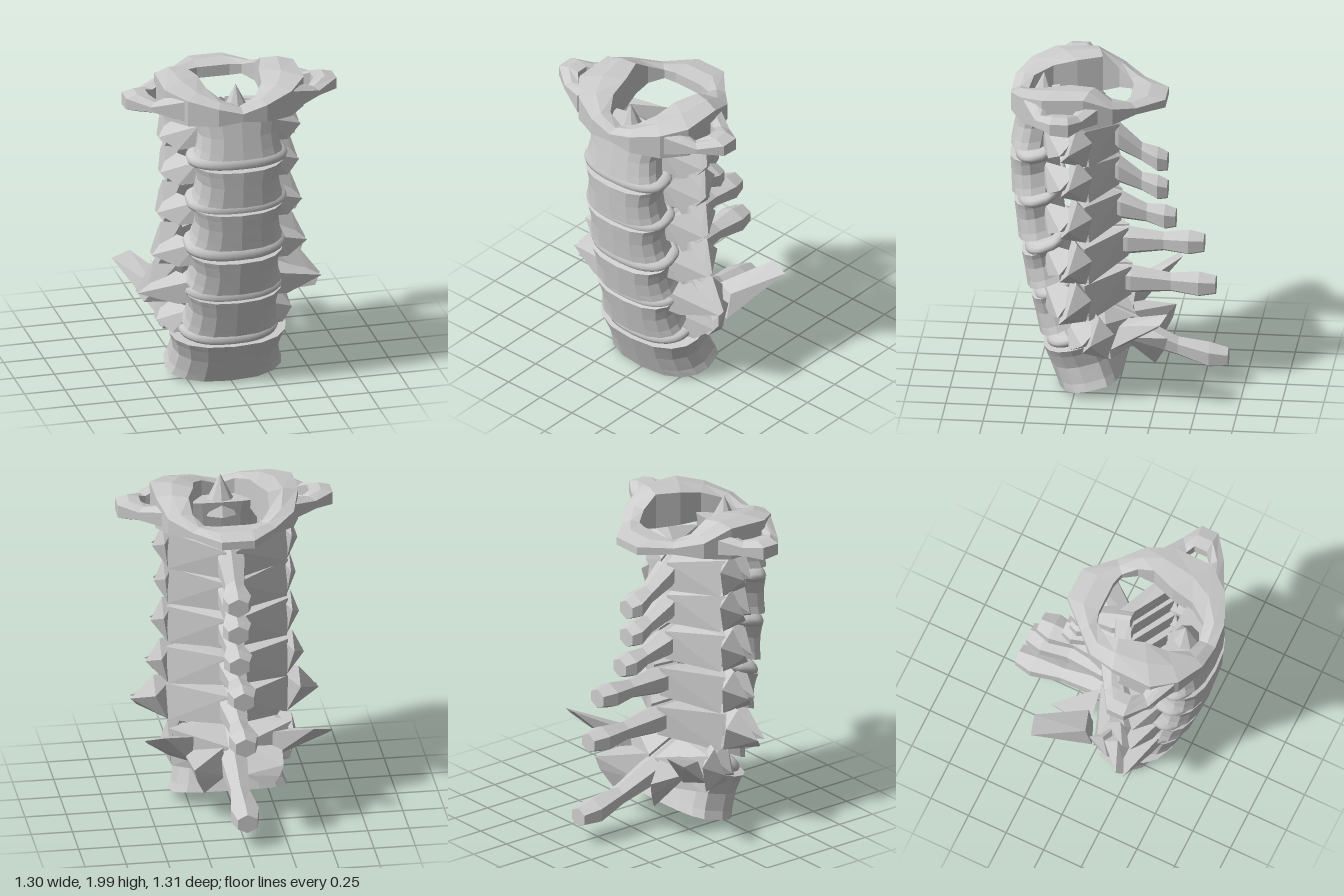
import * as THREE from 'three';
import { ConvexGeometry } from 'three/addons/geometries/ConvexGeometry.js';

const flat = new THREE.MeshStandardMaterial({ color: 0xcccccc, flatShading: true });
const smooth = new THREE.MeshStandardMaterial({ color: 0xcccccc });
const { lerp } = THREE.MathUtils;

function add(parent, name, geometry, material = flat) {
  const mesh = new THREE.Mesh(geometry, material);
  mesh.name = name;
  parent.add(mesh);
  return mesh;
}

// Skin a list of rings of [x, y, z]; closed joins last to first, otherwise the ends are capped
function loft(rings, closed = false) {
  const n = rings[0].length, m = rings.length, pos = rings.flat(2), idx = [];
  for (let i = 0; i < (closed ? m : m - 1); i++) {
    for (let j = 0; j < n; j++) {
      const k = (j + 1) % n, r = i * n, q = ((i + 1) % m) * n;
      idx.push(r + j, r + k, q + k, r + j, q + k, q + j);
    }
  }
  if (!closed) {
    const last = (m - 1) * n;
    for (let j = 1; j < n - 1; j++) idx.push(0, j + 1, j, last, last + j, last + j + 1);
  }
  // Turn the skin outward when its signed volume is negative
  const P = i => new THREE.Vector3().fromArray(pos, i * 3);
  let volume = 0;
  for (let i = 0; i < idx.length; i += 3) volume += P(idx[i]).dot(P(idx[i + 1]).cross(P(idx[i + 2])));
  if (volume < 0) idx.reverse();
  const g = new THREE.BufferGeometry();
  g.setAttribute('position', new THREE.Float32BufferAttribute(pos, 3));
  g.setIndex(idx);
  g.computeVertexNormals();
  return g;
}

// Convex chunk, made for the left and the right side
function hullPair(parent, name, pts) {
  for (const s of [1, -1]) {
    add(parent, name, new ConvexGeometry(pts.map(([x, y, z]) => new THREE.Vector3(s * x, y, z))));
  }
}

// Flattened six-sided section between an inner and an outer point
const section = (s, [xi, zi, xo, zo, lo, hi]) => {
  const x = (xi + xo) / 2, z = (zi + zo) / 2;
  return [[xi, hi, zi], [x, hi + .01, z], [xo, hi - .01, zo], [xo, lo + .01, zo], [x, lo - .01, z], [xi, lo, zi]]
    .map(p => [s * p[0], p[1], p[2]]);
};

// Rounded plate outline from its front edge back by depth, climbing by rise
function plate({ z, y, depth, rise }, w, n, scale = 1, lift = 0) {
  return Array.from({ length: n }, (_, i) => {
    const a = i / n * Math.PI * 2, s = Math.sin(a), c = Math.cos(a);
    const t = .5 - scale / 2 * (c < 0 ? -Math.sqrt(-c) : c);
    return [w * scale * Math.sign(s) * Math.abs(s) ** .8, y + rise * t + lift, z - depth * t];
  });
}

// Per vertebra: front edge of the body top and bottom (z, y), depth, rise to the back,
// pillar top, side reach, spine tip (z, y)
const vertebrae = [
  [.61, 1.8, .655, 1.56, .24, .03, 1.79, .44, -.285, 1.43],
  [.66, 1.48, .65, 1.25, .28, .065, 1.56, .43, -.285, 1.25],
  [.635, 1.19, .61, .955, .27, .085, 1.3, .45, -.335, 1.065],
  [.59, .86, .555, .645, .27, .11, 1.03, .48, -.505, .91],
  [.53, .58, .48, .345, .26, .12, .79, .57, -.575, .64],
  [.46, .27, .36, .01, .39, .1, .55, .42, -.65, .175],
].map(([zt, yt, zb, yb, depth, rise, pillarTop, reach, tipZ, tipY], i) => ({
  at: t => ({ z: lerp(zt, zb, t), y: lerp(yt, yb, t), depth, rise }),
  width: i < 5 ? .27 + i * .007 : .36,
  pillarZ: i < 5 ? .22 : .09,
  pillarTop, reach, tipZ, tipY,
}));

function makeVertebra(v, i) {
  const g = new THREE.Group();
  g.name = 'vertebra' + (i + 2);
  // Drum-shaped body with a pinched waist
  add(g, 'body', loft([0, .15, .45, .82, 1].map(t =>
    plate(v.at(t), v.width * (1 - .1 * Math.sin(Math.PI * t)), 16))));

  // Rear spine, drooping to a knobbed tip: position along it, height, half width
  const root = v.pillarTop - .12;
  const spine = [[0, .16, .06], [.25, .18, .08], [.6, .12, .055], [.85, .16, .085], [1, .12, .06]]
    .map(([t, h, w]) => ({ z: lerp(.1, v.tipZ, t), y: lerp(v.tipY, root, (1 - t) ** 1.6), h: h / 2, w }));
  add(g, 'rearSpine', loft(spine.map(({ z, y, h, w }) => [
    [0, y + h, z], [w, y + h / 2, z], [w, y - h / 2, z], [0, y - h, z], [-w, y - h / 2, z], [-w, y + h / 2, z],
  ])));

  // Joint pillar with its side tip
  const z = v.pillarZ, top = v.pillarTop, low = top - .27, mid = top - .17, x = .2 + .42 * v.reach;
  hullPair(g, 'jointPillar', [
    [.28, top, z + .04], [x, top, z], [x, top - .1, z - .09], [v.reach, mid, z + .05],
    [v.reach - .04, mid - .06, z + .1], [.28, low, z + .05], [.36, low, z - .05],
  ]);
  // Bridge from the body to the pillar
  hullPair(g, 'pedicle', [
    [.22, mid + .1, z + .22], [.22, mid - .04, z + .22], [.34, mid - .06, z + .18],
    [v.reach, mid, z + .1], [.35, mid + .1, z], [.27, mid - .05, z],
  ]);
  // Sloping plate closing the canal at the back
  hullPair(g, 'lamina', [
    [.37, top - .04, z - .04], [.36, low, z - .07], [.28, top - .04, z + .03], [.28, low, z],
    ...spine.slice(0, 2).flatMap(p => [[.03, p.y + p.h, p.z], [.03, p.y - p.h, p.z]]),
  ]);
  return g;
}

function makeTopVertebra() {
  const g = new THREE.Group();
  g.name = 'topVertebra';
  // Half ring, front to back: inner x, z; outer x, z; low, high
  const half = [
    [0, .55, 0, .655, 1.8, 1.87], [.1, .53, .15, .645, 1.78, 1.91], [.17, .42, .32, .565, 1.77, 1.95],
    [.19, .28, .43, .43, 1.77, 1.98], [.24, .13, .43, .18, 1.77, 1.99], [.23, .03, .38, .01, 1.8, 1.92],
    [.17, -.05, .25, -.12, 1.82, 1.88], [.1, -.07, .1, -.28, 1.81, 1.88],
  ];
  add(g, 'ring', loft([
    ...half.map(p => section(1, p)), ...half.slice(1).reverse().map(p => section(-1, p)),
  ], true));
  // Side loops around a small opening
  const loop = [
    [.36, .42, .34, .55, 1.8, 1.94], [.46, .4, .52, .46, 1.84, 1.89], [.51, .35, .65, .36, 1.83, 1.92],
    [.51, .27, .65, .25, 1.82, 1.92], [.46, .24, .54, .18, 1.83, 1.9], [.36, .2, .38, .08, 1.81, 1.93],
  ];
  for (const s of [1, -1]) add(g, 'sideLoop', loft(loop.map(p => section(s, p))));
  return g;
}

export function createModel() {
  const model = new THREE.Group();
  model.name = 'neckSpine';
  model.add(makeTopVertebra());
  vertebrae.forEach((v, i) => model.add(makeVertebra(v, i)));

  // Peg rising from the second vertebra into the ring
  const peg = add(model, 'peg', new THREE.ConeGeometry(.12, .24, 8));
  peg.position.set(0, 1.86, .46);

  // Cushioned discs midway between neighbouring bodies
  vertebrae.slice(1).forEach((below, i) => {
    const a = vertebrae[i].at(1), b = below.at(0), mid = {};
    for (const k in a) mid[k] = (a[k] + b[k]) / 2;
    mid.z -= .03;
    mid.y -= .01;
    const rings = [-1, -.9, -.5, 0, .5, .9, 1].map(u =>
      plate(mid, .31, 32, .8 + .2 * Math.sqrt(1 - u * u), u * .04));
    add(model, 'disc' + (i + 1), loft(rings), smooth);
  });

  // Long blades sweeping out, up and back from the lowest vertebra, with its lower joint wedges
  hullPair(model, 'lowerSideBlade', [
    [.57, .6, -.295], [.45, .625, -.33], [.55, .575, -.28], [.37, .5, -.03],
    [.24, .5, -.07], [.38, .35, .02], [.24, .32, -.04],
  ]);
  hullPair(model, 'lowerJointWedge', [
    [.27, .39, -.31], [.25, .31, -.29], [.2, .2, -.23], [.06, .42, -.08], [.06, .26, -.14], [.3, .4, -.04],
  ]);
  return model;
}
